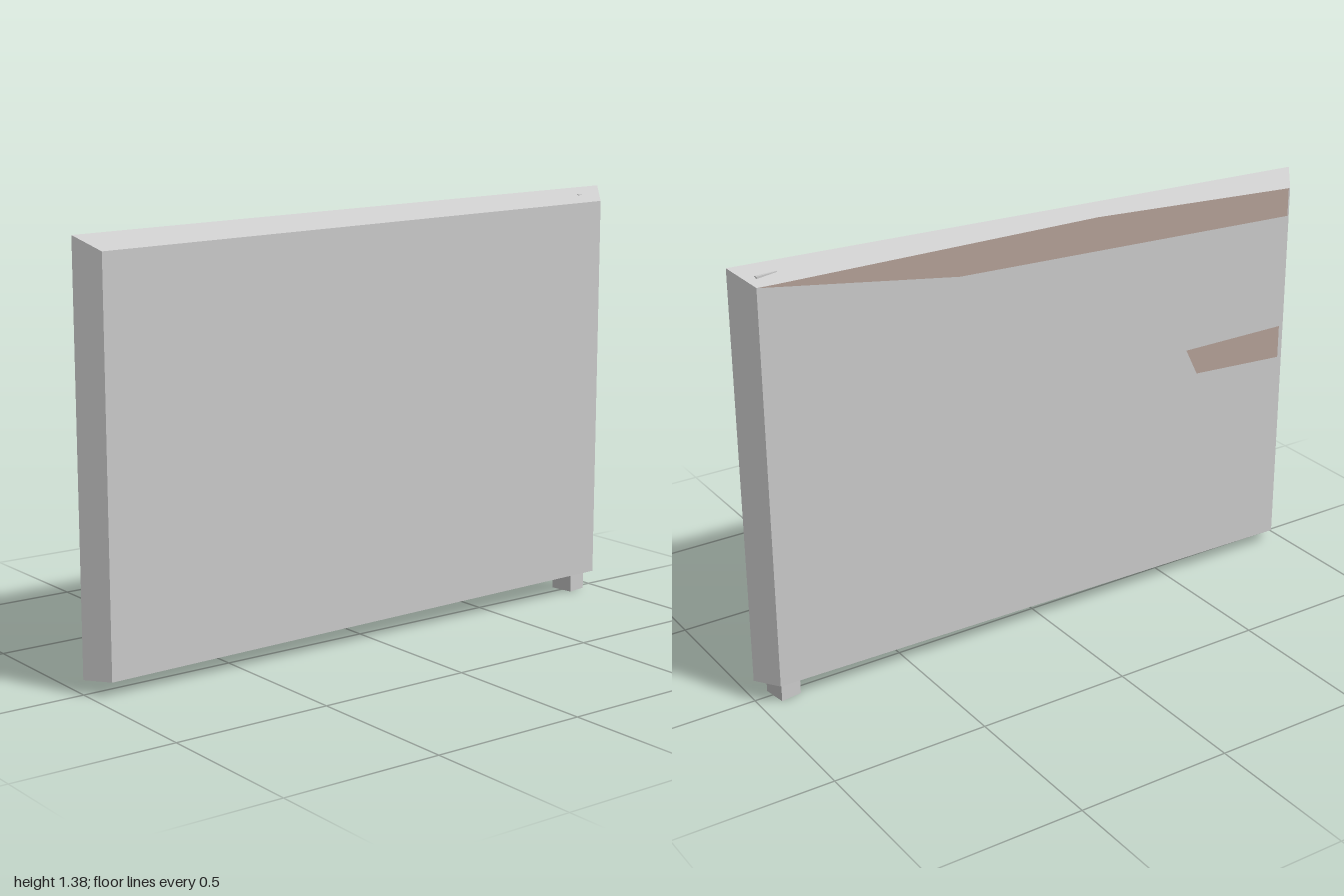
import * as THREE from 'three';

const grey = () => new THREE.MeshStandardMaterial({ color: 0xcccccc, flatShading: true, side: THREE.DoubleSide });
const brown = () => {
  const m = grey();
  m.color.set(0xb5a198);
  return m;
};

// Flat-faced geometry from convex polygons, corners counter-clockwise from outside
function facets(polygons) {
  const pos = [];
  for (const p of polygons)
    for (let i = 1; i < p.length - 1; i++) pos.push(...p[0], ...p[i], ...p[i + 1]);
  const g = new THREE.BufferGeometry();
  g.setAttribute('position', new THREE.Float32BufferAttribute(pos, 3));
  g.computeVertexNormals();
  return g;
}

function add(group, name, geometry, material) {
  const mesh = new THREE.Mesh(geometry, material);
  mesh.name = name;
  group.add(mesh);
  return mesh;
}

// Thin decorative strip lying just outside the -x wall, outlined in (z, y)
function wallStrip(points) {
  const shape = new THREE.Shape(points.map(([z, y]) => new THREE.Vector2(z, y)));
  return new THREE.ShapeGeometry(shape).rotateY(-Math.PI / 2).translate(-0.0745, 0, 0);
}

export function createModel() {
  const group = new THREE.Group();
  const W = 0.073, S = 0.947;

  // Hexagonal plan, counter-clockwise from above
  const plan = [[0, 1], [W, S], [W, -S], [0, -1], [-W, -S], [-W, S]];
  const bottomY = z => 0.0575 - 0.0125 * z;
  const topY = (x, z) => (x === 0 ? 1.3525 : 1.3085) - 0.0275 * z;
  const low = plan.map(([x, z]) => [x, bottomY(z), z]);
  const high = plan.map(([x, z]) => [x, topY(x, z), z]);

  // Shell walls, open underneath
  const walls = plan.map((_, i) => {
    const j = (i + 1) % 6;
    return [low[i], low[j], high[j], high[i]];
  });
  add(group, 'panelWalls', facets(walls), grey());

  // Two slopes meeting at the ridge
  add(group, 'ridgedTop', facets([
    [high[0], high[1], high[2], high[3]],
    [high[3], high[4], high[5], high[0]],
  ]), grey());

  // Post inside the rear end, showing as a foot below
  const post = add(group, 'rearPost', new THREE.BoxGeometry(0.078, 1.356, 0.069), grey());
  post.position.set(-0.004, 0.678, -0.905);
  post.rotation.y = 0.15;

  // Brown bands on the -x wall
  add(group, 'upperBand', wallStrip([
    [-0.945, 1.334], [-0.3, 1.235], [0.94, 1.19], [0.94, 1.283], [0.19, 1.325],
  ]), brown());
  add(group, 'sidePatch', wallStrip([
    [0.59, 0.72], [0.93, 0.7], [0.93, 0.81], [0.545, 0.81],
  ]), brown());

  return group;
}
